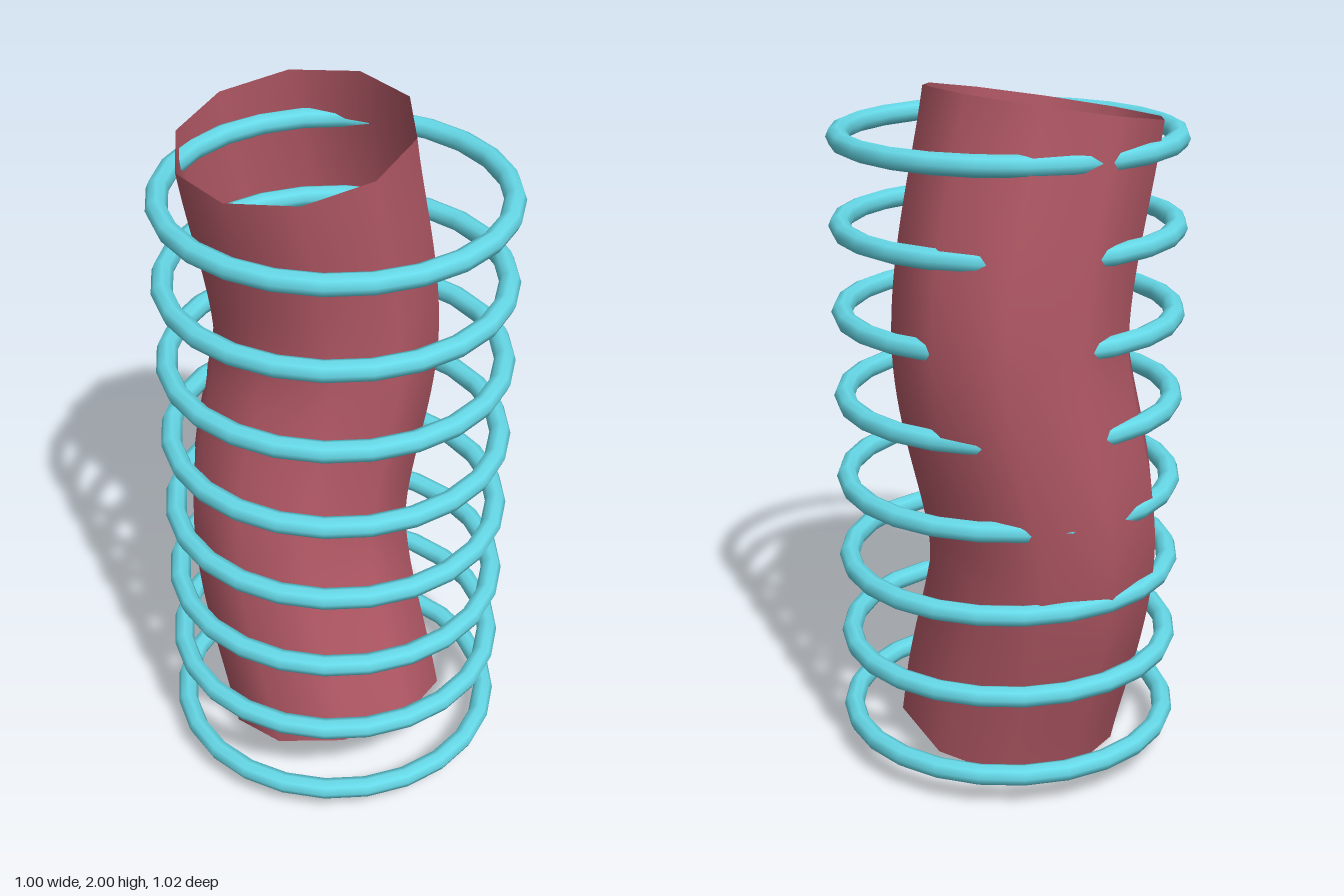
import * as THREE from 'three';
import { ParametricGeometry } from 'three/addons/geometries/ParametricGeometry.js';

const SIDES = 10, STEPS = 64, RADIUS = 0.334;

// Open, ten-sided pipe swept along a gently bent centre line
function makePipe() {
  const curve = new THREE.CatmullRomCurve3([
    new THREE.Vector3(0, 0.09, 0.007),
    new THREE.Vector3(0, 0.71, -0.165),
    new THREE.Vector3(0.11, 1.33, -0.165),
    new THREE.Vector3(0, 1.945, -0.16),
  ]);
  const frames = curve.computeFrenetFrames(STEPS, false);
  const point = (u, v, target) => {
    const i = Math.round(v * STEPS), a = u * Math.PI * 2;
    curve.getPointAt(i / STEPS, target);
    target.addScaledVector(frames.normals[i], -RADIUS * Math.sin(a));
    target.addScaledVector(frames.binormals[i], RADIUS * Math.cos(a));
  };
  const geometry = new ParametricGeometry(point, SIDES, STEPS);

  // Smooth radial normals around the pipe
  const normal = geometry.attributes.normal;
  const n = new THREE.Vector3();
  for (let k = 0; k < normal.count; k++) {
    const i = Math.floor(k / (SIDES + 1));
    const a = ((k % (SIDES + 1)) / SIDES) * Math.PI * 2;
    n.copy(frames.normals[i]).multiplyScalar(-Math.sin(a));
    n.addScaledVector(frames.binormals[i], Math.cos(a));
    normal.setXYZ(k, n.x, n.y, n.z);
  }
  const pipe = new THREE.Mesh(geometry,
    new THREE.MeshStandardMaterial({ color: 0xb35966, side: THREE.DoubleSide }));
  pipe.name = 'bentPipe';
  return pipe;
}

// Stack of evenly spaced horizontal rings around the pipe
function makeRings() {
  const rings = new THREE.Group();
  rings.name = 'rings';
  const geometry = new THREE.TorusGeometry(0.47, 0.03, 8, 24).rotateX(Math.PI / 2);
  const material = new THREE.MeshStandardMaterial({ color: 0x66d9e8 });
  for (let i = 0; i < 8; i++) {
    const ring = new THREE.Mesh(geometry, material);
    ring.name = `ring${i + 1}`;
    ring.position.set(0, 0.105 + i * 0.2471, 0.005);
    rings.add(ring);
  }
  return rings;
}

export function createModel() {
  const model = new THREE.Group();
  model.name = 'ringedPipe';
  model.add(makePipe(), makeRings());
  return model;
}
